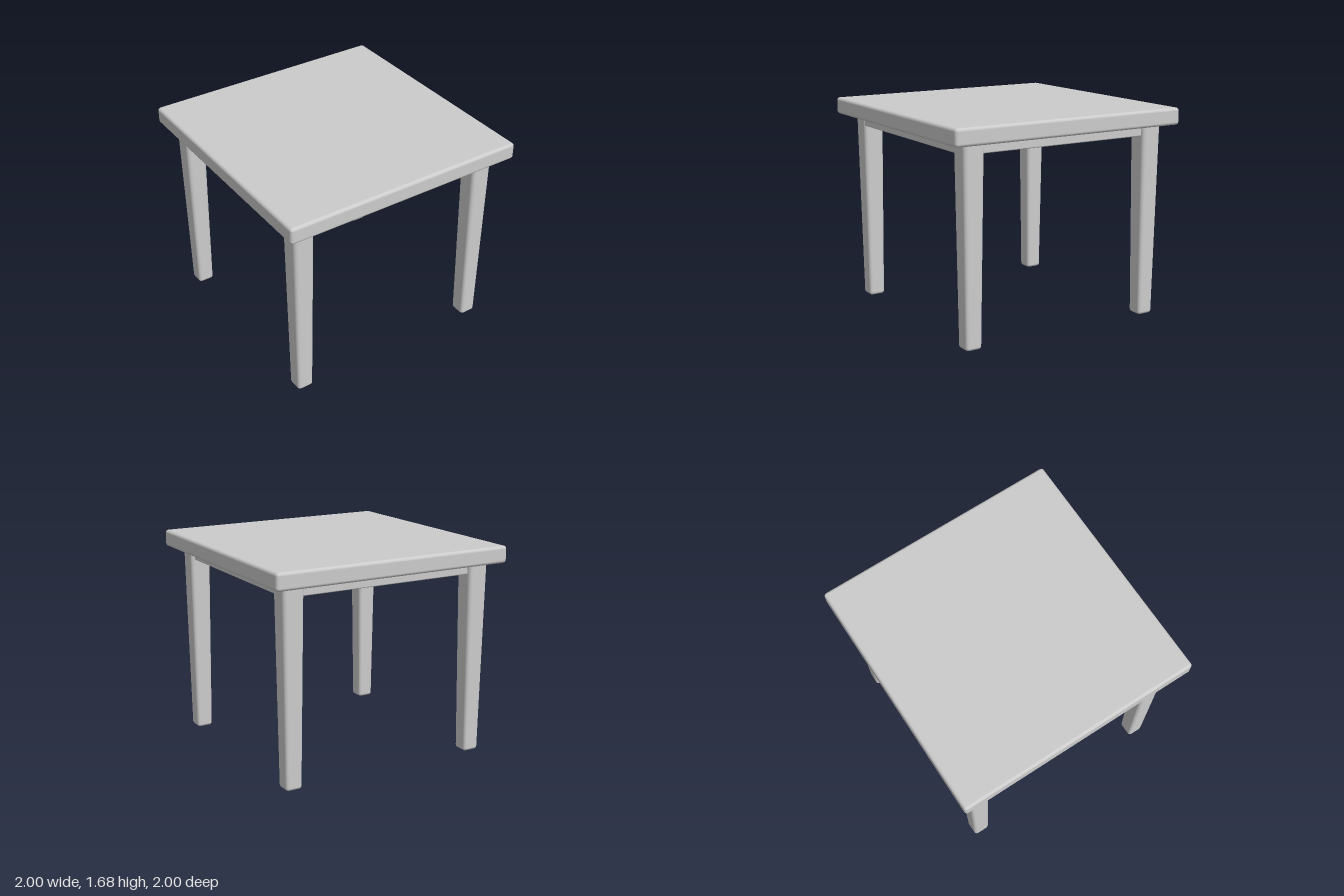
import * as THREE from 'three';
import { RoundedBoxGeometry } from 'three/addons/geometries/RoundedBoxGeometry.js';

const material = new THREE.MeshStandardMaterial({ color: 0xcccccc });

// Rounded block standing between two heights
function block(name, width, bottom, top, radius) {
  const geometry = new RoundedBoxGeometry(width, top - bottom, width, 4, radius);
  const mesh = new THREE.Mesh(geometry, material);
  mesh.name = name;
  mesh.position.y = (bottom + top) / 2;
  return mesh;
}

// Square leg that narrows evenly towards the floor
function taperedLeg(name, x, z) {
  const foot = 0.132, head = 0.172, height = 1.59;
  const leg = block(name, foot, 0, height, 0.025);
  const p = leg.geometry.attributes.position;
  for (let i = 0; i < p.count; i++) {
    const t = p.getY(i) / height + 0.5;
    const s = THREE.MathUtils.lerp(1, head / foot, t);
    p.setXYZ(i, p.getX(i) * s, p.getY(i), p.getZ(i) * s);
  }
  leg.position.x = x;
  leg.position.z = z;
  return leg;
}

export function createModel() {
  const table = new THREE.Group();
  table.name = 'table';

  // Top slab and the recessed block beneath it
  table.add(block('tabletop', 2, 1.545, 1.68, 0.025));
  table.add(block('apron', 1.73, 1.46, 1.6, 0.01));

  // Four legs, set slightly towards the back
  for (const [side, x] of [['Left', 0.81], ['Right', -0.81]]) {
    table.add(taperedLeg('front' + side + 'Leg', x, 0.787));
    table.add(taperedLeg('back' + side + 'Leg', x, -0.815));
  }
  return table;
}
